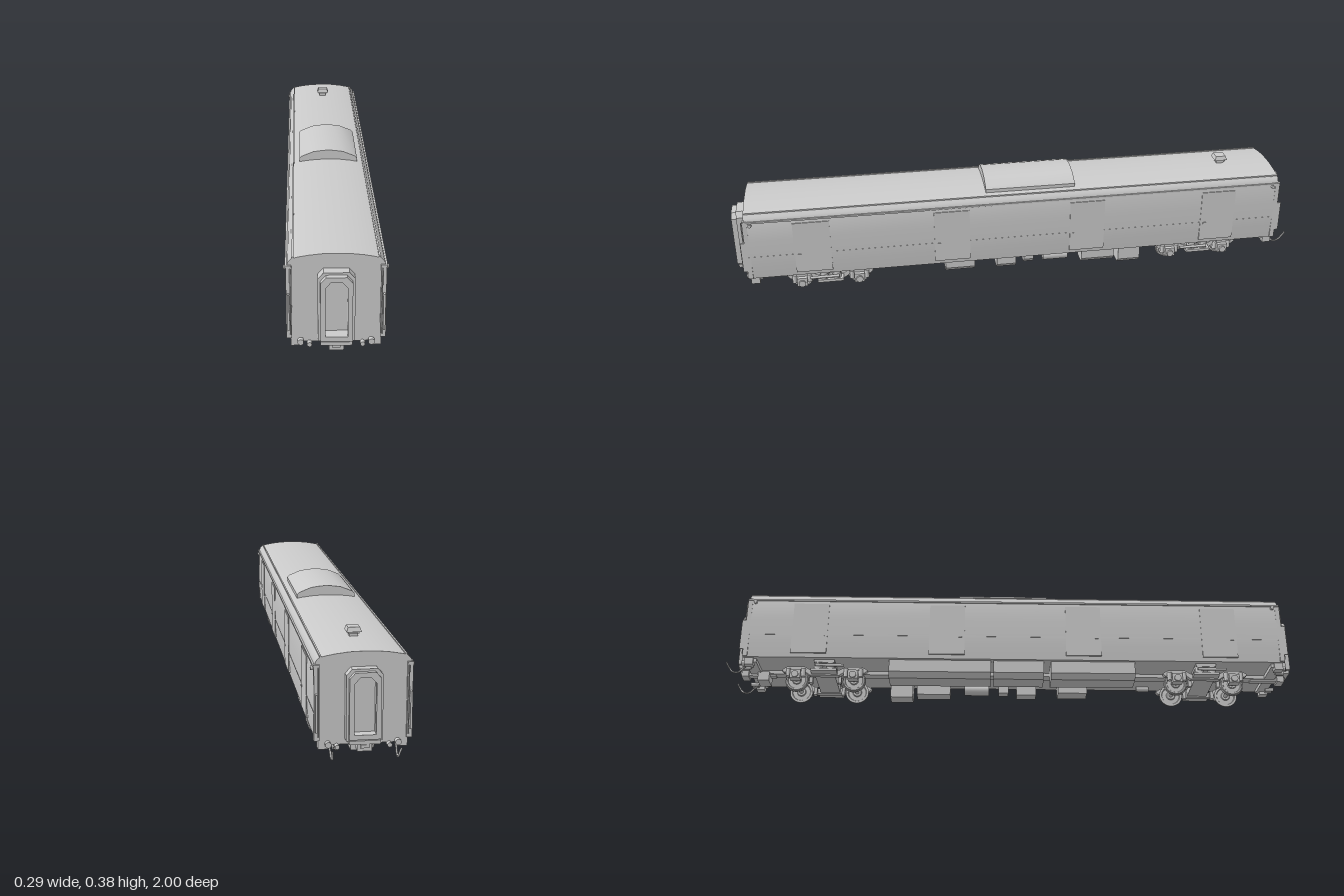
import * as THREE from 'three';
import { toCreasedNormals } from 'three/addons/utils/BufferGeometryUtils.js';

const grey = new THREE.MeshStandardMaterial({ color: 0xcccccc });

function add(parent, name, geo, x = 0, y = 0, z = 0) {
  const mesh = new THREE.Mesh(geo, grey);
  mesh.name = name;
  mesh.position.set(x, y, z);
  parent.add(mesh);
  return mesh;
}

// Box given by its limits on each axis
function box(parent, name, x0, x1, y0, y1, z0, z1) {
  return add(parent, name, new THREE.BoxGeometry(x1 - x0, y1 - y0, z1 - z0),
    (x0 + x1) / 2, (y0 + y1) / 2, (z0 + z1) / 2);
}

function shapeOf(points) {
  return new THREE.Shape(points.map(([x, y]) => new THREE.Vector2(x, y)));
}

// Closed outline from its +x half, listed bottom to top
function mirrored(half) {
  return shapeOf([...half, ...half.filter(p => p[0] > 0).reverse().map(([x, y]) => [-x, y])]);
}

function extrudeZ(parent, name, shape, z0, z1, crease = 0.5) {
  const geo = new THREE.ExtrudeGeometry(shape, { depth: z1 - z0, bevelEnabled: false });
  return add(parent, name, toCreasedNormals(geo, crease), 0, 0, z0);
}

// Cylinder lying along x or z
function rod(parent, name, axis, r, len, x, y, z, sides = 16) {
  const geo = new THREE.CylinderGeometry(r, r, len, sides);
  if (axis === 'x') geo.rotateZ(Math.PI / 2);
  if (axis === 'z') geo.rotateX(Math.PI / 2);
  return add(parent, name, geo, x, y, z);
}

function tube(parent, name, points, r) {
  const curve = new THREE.CatmullRomCurve3(points.map(p => new THREE.Vector3(...p)));
  return add(parent, name, new THREE.TubeGeometry(curve, 20, r, 6));
}

function buildBody(g) {
  // Shell with an arched roof and a slight tuck at the sill
  extrudeZ(g, 'body', mirrored([
    [0.134, 0.095], [0.139, 0.15], [0.14, 0.182], [0.14, 0.24], [0.138, 0.315], [0.134, 0.327],
    [0.125, 0.337], [0.11, 0.341], [0.08, 0.3465], [0.04, 0.351], [0, 0.352],
  ]), -0.93, 0.95);

  for (const s of [-1, 1]) {
    const side = new THREE.Group();
    side.name = s > 0 ? 'leftSide' : 'rightSide';
    g.add(side);
    const sbox = (name, a, b, ...rest) => box(side, name, Math.min(a * s, b * s), Math.max(a * s, b * s), ...rest);

    // Rain gutter, roof rib and waist seam
    sbox('rainGutter', 0.135, 0.1425, 0.311, 0.317, -0.935, 0.955);
    sbox('roofRib', 0.118, 0.123, 0.334, 0.342, -0.93, 0.95);
    sbox('waistSeam', 0.138, 0.1408, 0.179, 0.182, -0.928, 0.948);

    // Sliding doors with a thin raised edge
    for (const z of [0.73, 0.25, -0.23, -0.71]) {
      sbox('door', 0.13, 0.1415, 0.11, 0.3, z - 0.062, z + 0.062);
      sbox('doorHandle', 0.1405, 0.1435, 0.175, 0.181, z + 0.04, z + 0.052);
    }

    // Corner posts, handrails and lamps at both ends
    for (const [zEnd, d] of [[0.95, 1], [-0.93, -1]]) {
      const z = (a, b) => [Math.min(zEnd + a * d, zEnd + b * d), Math.max(zEnd + a * d, zEnd + b * d)];
      sbox('cornerPost', 0.124, 0.14, 0.097, 0.318, ...z(-0.01, 0.006));
      sbox('cornerPlate', 0.131, 0.137, 0.125, 0.235, ...z(0, 0.02));
      rod(side, 'cornerRail', 'y', 0.002, 0.2, 0.128 * s, 0.21, zEnd + 0.01 * d, 8);
      rod(side, 'cornerLamp', 'x', 0.006, 0.01, 0.142 * s, 0.304, zEnd - 0.02 * d, 12);
      sbox('cornerStep', 0.1, 0.128, 0.07, 0.096, ...z(-0.03, 0));
    }
  }
}

function buildRoof(g) {
  extrudeZ(g, 'roofUnit', mirrored([
    [0.1, 0.335], [0.1, 0.355], [0.092, 0.363], [0.052, 0.379], [0.025, 0.383], [0, 0.385],
  ]), -0.19, 0.125);
  box(g, 'ventNeck', -0.013, 0.013, 0.345, 0.366, -0.763, -0.737);
  box(g, 'ventCollar', -0.017, 0.017, 0.36, 0.364, -0.767, -0.733);
  const cap = add(g, 'ventCap', new THREE.CylinderGeometry(0.025, 0.032, 0.014, 4).toNonIndexed(), 0, 0.373, -0.75);
  cap.geometry.computeVertexNormals();
  cap.rotation.y = Math.PI / 4;
}

// Gangway and coupler, built facing +z from the end wall
function buildEnd(name, length) {
  const end = new THREE.Group();
  end.name = name;
  const outline = (w, top, bottom) => [[w, bottom], [w, top - 0.018], [w - 0.016, top]];
  const ring = (w, t, top, bottom) => {
    const shape = mirrored(outline(w, top, bottom));
    shape.holes.push(new THREE.Path(mirrored(outline(w - t, top - t, bottom + t)).getPoints()));
    return shape;
  };
  extrudeZ(end, 'gangwayBellows', ring(0.052, 0.02, 0.308, 0.1), -0.005, length * 0.65, 0.3);
  extrudeZ(end, 'gangwayFace', ring(0.045, 0.014, 0.301, 0.107), length * 0.6, length, 0.3);
  box(end, 'endDoor', -0.034, 0.034, 0.115, 0.29, -0.005, 0.008);
  box(end, 'footplate', -0.045, 0.045, 0.092, 0.103, -0.02, length * 0.9);
  box(end, 'couplerShank', -0.012, 0.012, 0.076, 0.094, -0.09, 0.01);
  box(end, 'couplerHead', -0.021, 0.021, 0.07, 0.099, 0.005, 0.03);
  box(end, 'couplerJaw', -0.012, 0.012, 0.081, 0.091, 0.028, 0.036);
  box(end, 'bufferBeam', -0.12, 0.12, 0.082, 0.097, -0.04, -0.002);
  for (const s of [-1, 1]) {
    rod(end, 'pipeCock', 'z', 0.007, 0.03, 0.075 * s, 0.079, 0, 10);
    rod(end, 'jumperSocket', 'z', 0.009, 0.025, 0.1 * s, 0.086, 0.002, 10);
  }
  return end;
}

// Two-axle bogie centred on its own origin
function buildBogie(z) {
  const b = new THREE.Group();
  b.name = 'bogie';
  b.position.z = z;
  const wheelProfile = [[0.006, -0.007], [0.014, -0.007], [0.016, -0.003], [0.031, -0.002], [0.033, -0.006],
    [0.041, -0.006], [0.041, -0.003], [0.038, -0.001], [0.037, 0.006], [0.032, 0.006], [0.03, 0.002],
    [0.016, 0.003], [0.014, 0.007], [0.006, 0.007]].map(p => new THREE.Vector2(...p));
  const wheel = toCreasedNormals(new THREE.LatheGeometry(wheelProfile, 32).rotateZ(-Math.PI / 2), 0.5);
  const sideFrame = shapeOf([[-0.15, 0.066], [-0.13, 0.078], [-0.07, 0.078], [-0.05, 0.066], [0.05, 0.066],
    [0.07, 0.078], [0.13, 0.078], [0.15, 0.066], [0.14, 0.056], [0.07, 0.06], [0.05, 0.046], [-0.05, 0.046],
    [-0.07, 0.06], [-0.14, 0.056]]);

  for (const az of [-0.1, 0.1]) {
    rod(b, 'axle', 'x', 0.007, 0.2, 0, 0.041, az);
    for (const s of [-1, 1]) {
      const w = add(b, 'wheel', wheel, 0.055 * s, 0.041, az);
      if (s < 0) w.rotation.y = Math.PI;
      box(b, 'axleBox', s * 0.091 - 0.015, s * 0.091 + 0.015, 0.03, 0.062, az - 0.018, az + 0.018);
      rod(b, 'axleCap', 'x', 0.012, 0.008, 0.109 * s, 0.043, az);
      box(b, 'brakeShoe', s * 0.055 - 0.008, s * 0.055 + 0.008, 0.03, 0.06,
        az - Math.sign(az) * 0.05 - 0.006, az - Math.sign(az) * 0.05 + 0.006);
      for (const o of [-0.026, 0.026]) rod(b, 'axleSpring', 'y', 0.008, 0.03, 0.091 * s, 0.055, az + o, 10);
    }
  }
  for (const s of [-1, 1]) {
    const geo = new THREE.ExtrudeGeometry(sideFrame, { depth: 0.018, bevelEnabled: false });
    add(b, 'sideFrame', geo.rotateY(Math.PI / 2), s * 0.083 - 0.009);
    box(b, 'boltsterSeat', s * 0.105 - 0.018, s * 0.105 + 0.018, 0.05, 0.06, -0.045, 0.045);
    for (const o of [-0.022, 0.022]) rod(b, 'bolsterSpring', 'y', 0.015, 0.03, 0.105 * s, 0.073, o);
    rod(b, 'damper', 'z', 0.005, 0.1, 0.122 * s, 0.072, 0.02, 8);
  }
  box(b, 'bolster', -0.12, 0.12, 0.083, 0.094, -0.035, 0.035);
  box(b, 'transom', -0.08, 0.08, 0.05, 0.075, -0.035, 0.035);
  rod(b, 'centrePivot', 'y', 0.02, 0.03, 0, 0.085, 0);
  return b;
}

function buildUnderfloor(g) {
  const u = new THREE.Group();
  u.name = 'underfloorEquipment';
  g.add(u);
  // Equipment cases with a chamfered outer lower edge: [side, inner x, outer x, bottom y, z0, z1]
  const cases = [
    [-1, 0.035, 0.122, 0.033, 0.135, 0.43], [-1, 0.035, 0.122, 0.033, -0.065, 0.11],
    [-1, 0.035, 0.122, 0.033, -0.43, -0.075], [1, 0.045, 0.118, 0.045, 0.17, 0.275],
    [1, 0.05, 0.11, 0.038, 0.02, 0.09], [1, 0.05, 0.1, 0.045, -0.045, -0.01],
    [1, 0.045, 0.112, 0.035, -0.34, -0.22], [1, 0.045, 0.118, 0.024, -0.435, -0.355],
  ];
  for (const [s, a, b, y, z0, z1] of cases) {
    const pts = [[a, y], [b - 0.018, y], [b, y + 0.018], [b, 0.096], [a, 0.096]].map(([x, h]) => [x * s, h]);
    extrudeZ(u, 'equipmentCase', shapeOf(pts), z0, z1, 0.2);
  }
  // Air reservoirs and their hangers
  rod(u, 'airReservoir', 'z', 0.018, 0.09, 0.085, 0.067, -0.125, 20);
  rod(u, 'smallReservoir', 'z', 0.009, 0.045, 0.1, 0.086, 0.485, 14);
  for (const z of [-0.155, -0.095]) box(u, 'reservoirHanger', 0.075, 0.095, 0.07, 0.096, z - 0.003, z + 0.003);
  box(u, 'centreSill', -0.018, 0.018, 0.082, 0.096, -0.9, 0.92);
}

export function createModel() {
  const model = new THREE.Group();
  model.name = 'railwayVan';
  buildBody(model);
  buildRoof(model);
  buildUnderfloor(model);

  const front = buildEnd('frontEnd', 0.05);
  front.position.z = 0.95;
  const back = buildEnd('backEnd', 0.04);
  back.position.z = -0.93;
  back.rotation.y = Math.PI;
  model.add(front, back);
  model.add(buildBogie(0.68), buildBogie(-0.655));

  // Hanging hoses at the back
  for (const s of [-1, 1]) {
    tube(model, 'hose', [[0.095 * s, 0.084, -0.915], [0.095 * s, 0.072, -0.935], [0.094 * s, 0.053, -0.955],
      [0.093 * s, 0.056, -0.975], [0.095 * s, 0.075, -0.99], [0.098 * s, 0.09, -0.998]], 0.003);
  }
  box(model, 'couplerMount', -0.03, 0.03, 0.052, 0.085, -0.9, -0.86);
  return model;
}
